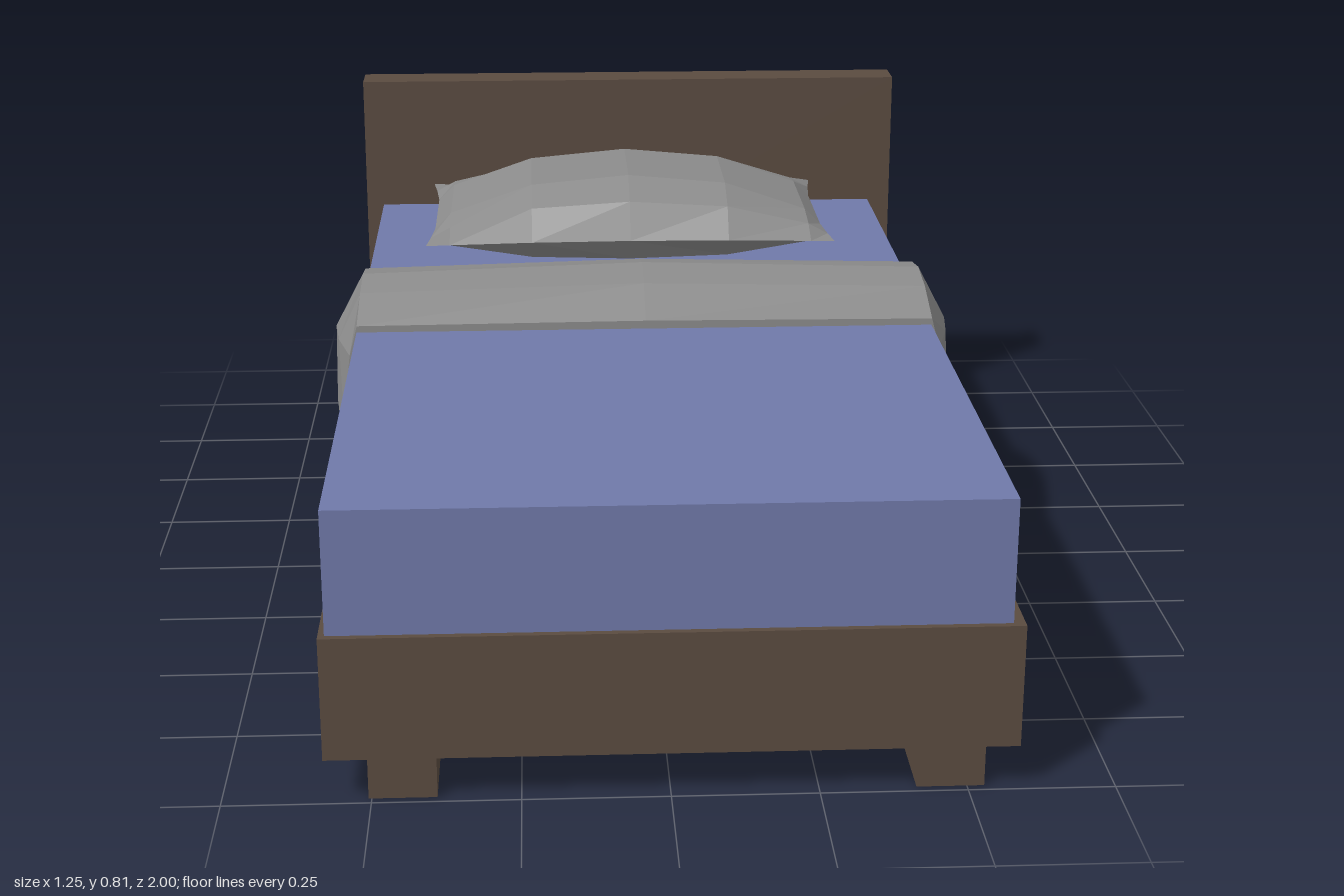
import * as THREE from 'three';

export function createModel() {
  const bed = new THREE.Group();
  bed.name = 'bed';

  const make = (name, color, side = THREE.FrontSide) => {
    const m = new THREE.MeshStandardMaterial({ color, side, flatShading: true });
    m.name = name;
    return m;
  };
  const wood = make('darkWood', 0x5a4b40, THREE.DoubleSide); // legs are open underneath
  const blue = make('blueSheet', 0x7079a9);
  const grey = make('greyFabric', 0x8b8b8b);

  const add = (name, geometry, material, parent = bed) => {
    const mesh = new THREE.Mesh(geometry, material);
    mesh.name = name;
    parent.add(mesh);
    return mesh;
  };

  // Box given by its limits on each axis
  const box = (name, material, [x0, x1], [y0, y1], [z0, z1]) => {
    const g = new THREE.BoxGeometry(x1 - x0, y1 - y0, z1 - z0);
    g.translate((x0 + x1) / 2, (y0 + y1) / 2, (z0 + z1) / 2);
    return add(name, g, material);
  };

  // Faceted surface through rows of points
  const loft = (rows, flip = false) => {
    const cols = rows[0].length;
    const index = [];
    for (let i = 0; i < rows.length - 1; i++) {
      for (let j = 0; j < cols - 1; j++) {
        const a = i * cols + j, b = a + cols, c = a + 1, d = b + 1;
        if (flip) index.push(a, b, c, b, d, c);
        else index.push(a, c, b, b, c, d);
      }
    }
    let g = new THREE.BufferGeometry();
    g.setAttribute('position', new THREE.Float32BufferAttribute(rows.flat(2), 3));
    g.setIndex(index);
    g = g.toNonIndexed();
    g.computeVertexNormals();
    return g;
  };

  // Frame, headboard and mattress
  box('headboard', wood, [-0.605, 0.615], [0.08, 0.81], [-1, -0.913]);
  box('frame', wood, [-0.578, 0.585], [0.08, 0.3], [-0.913, 1]);
  box('mattress', blue, [-0.567, 0.565], [0.3, 0.52], [-0.913, 0.988]);

  // Short hollow legs, open at the bottom
  for (const x of [-0.448, 0.472]) {
    for (const z of [-0.81, 0.915]) {
      const g = new THREE.CylinderGeometry(Math.SQRT1_2, Math.SQRT1_2, 1, 4, 1, true);
      g.rotateY(Math.PI / 4);
      g.scale(0.115, 0.08, 0.14);
      g.translate(x, 0.04, z);
      add('leg', g, wood);
    }
  }

  // Folded blanket: flat inside, arched outside, hanging over both sides
  // Each station: inner x, y, outer x, y, going from the left hem to the middle
  const half = [
    [0.6, 0.28, 0.6, 0.28],
    [0.6, 0.28, 0.607, 0.3],
    [0.592, 0.34, 0.623, 0.35],
    [0.573, 0.47, 0.62, 0.48],
    [0.567, 0.519, 0.563, 0.588],
    [0, 0.519, 0, 0.605],
  ];
  const stations = [
    ...half.slice(0, -1).map(([a, b, c, d]) => [-a, b, -c, d]),
    ...half.slice().reverse(),
  ];
  const section = [
    [-0.29, 0], [-0.29, 0.2], [-0.205, 0.78], [-0.115, 1],
    [-0.03, 0.78], [0.06, 0.2], [0.06, 0], [-0.29, 0],
  ];
  const blanketRows = stations.map(([xi, yi, xo, yo]) =>
    section.map(([z, f]) => [xi + (xo - xi) * f, yi + (yo - yi) * f, z]));
  add('blanket', loft(blanketRows), grey);

  // Pillow: puffed top and flatter base meeting in a seam with drawn-out corners
  const pillow = new THREE.Group();
  pillow.name = 'pillow';
  pillow.position.set(-0.012, 0.572, -0.632);
  bed.add(pillow);
  const across = [[-0.435, 0], [-0.385, 0.3], [-0.21, 0.83], [0, 1], [0.21, 0.83], [0.385, 0.3], [0.435, 0]];
  const along = [[-0.263, 0], [-0.2, 0.66], [-0.12, 1], [0.12, 1], [0.2, 0.66], [0.263, 0]];
  const pillowHalf = (height) => across.map(([x, fx]) => along.map(([z, fz]) => [
    x * (1 - 0.045 * (1 - (z / 0.263) ** 2) * (fx === 0 ? 1 : 0)),
    height(fx * fz),
    z * (1 - 0.08 * (1 - (x / 0.435) ** 2) * (fz === 0 ? 1 : 0)),
  ]));
  add('pillowTop', loft(pillowHalf((f) => 0.114 * f)), grey, pillow);
  add('pillowBase', loft(pillowHalf((f) => -0.051 * Math.min(1, 1.6 * f)), true), grey, pillow);

  return bed;
}
